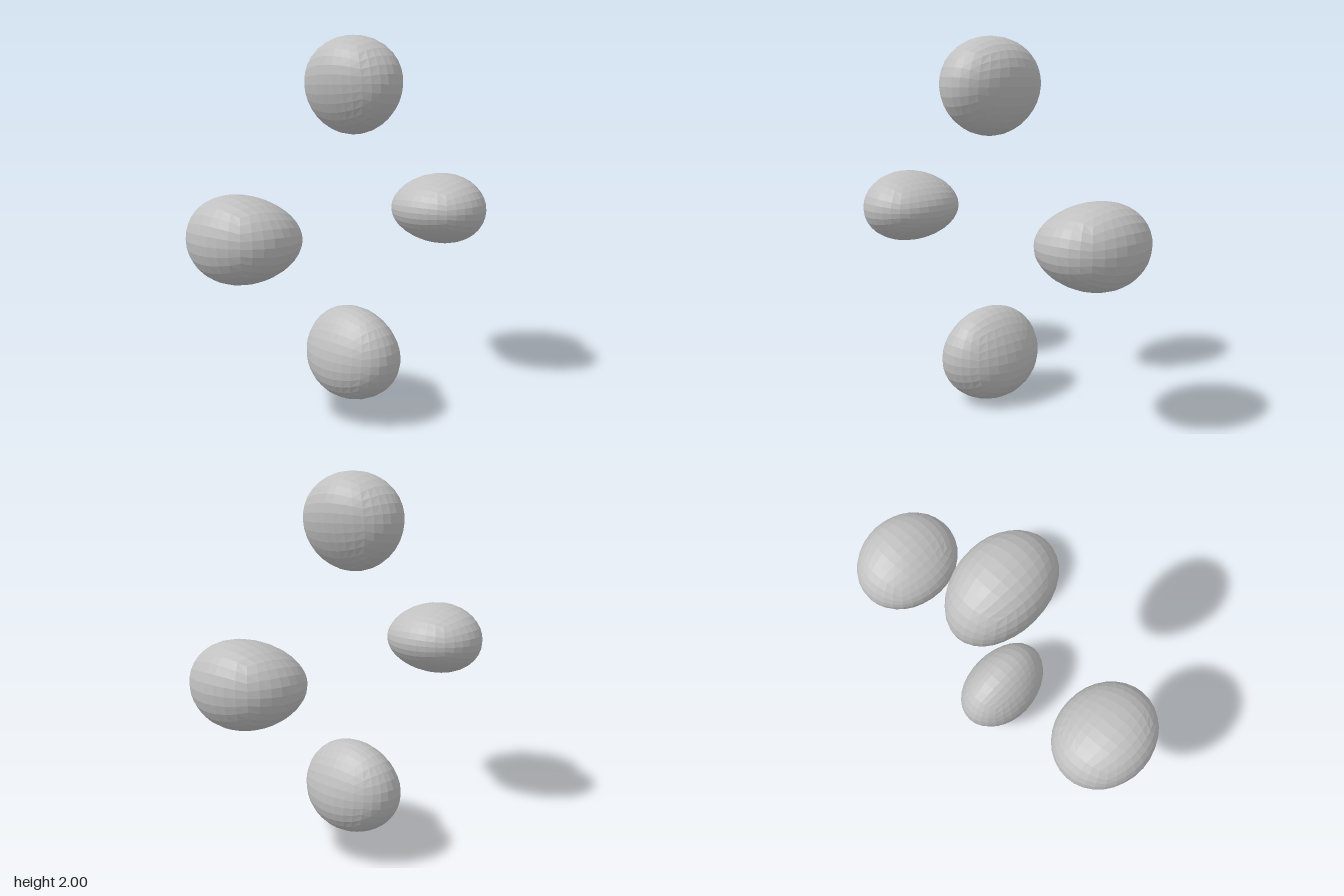
import * as THREE from 'three';

// Egg pointing along y: a box grid rounded to an ellipsoid, then narrowed in x toward its lower end
function eggGeometry() {
  const geometry = new THREE.BoxGeometry(2, 2, 2, 8, 8, 8);
  const pos = geometry.attributes.position;
  const v = new THREE.Vector3();
  const even = (a) => Math.tan((a * Math.PI) / 4);
  for (let i = 0; i < pos.count; i++) {
    v.fromBufferAttribute(pos, i);
    v.set(even(v.x), even(v.y), even(v.z)).normalize();
    pos.setXYZ(i, v.x * 0.213 * (1 + 0.17 * v.y), v.y * 0.262, v.z * 0.307);
  }
  geometry.computeVertexNormals();
  return geometry;
}

export function createModel() {
  const model = new THREE.Group();
  model.name = 'eggRing';
  const grey = new THREE.MeshStandardMaterial({ color: 0xc0c0c0, flatShading: true });
  grey.name = 'light grey';
  const geometry = eggGeometry();

  // Four eggs around the centre, narrow ends facing inward
  ['topEgg', 'rightEgg', 'bottomEgg', 'leftEgg'].forEach((name, i) => {
    const egg = new THREE.Mesh(geometry, grey);
    const angle = (i * Math.PI) / 2;
    egg.name = name;
    egg.position.set(-Math.sin(angle) * 0.738, 1 + Math.cos(angle) * 0.738, 0);
    egg.rotation.z = angle;
    model.add(egg);
  });
  return model;
}
